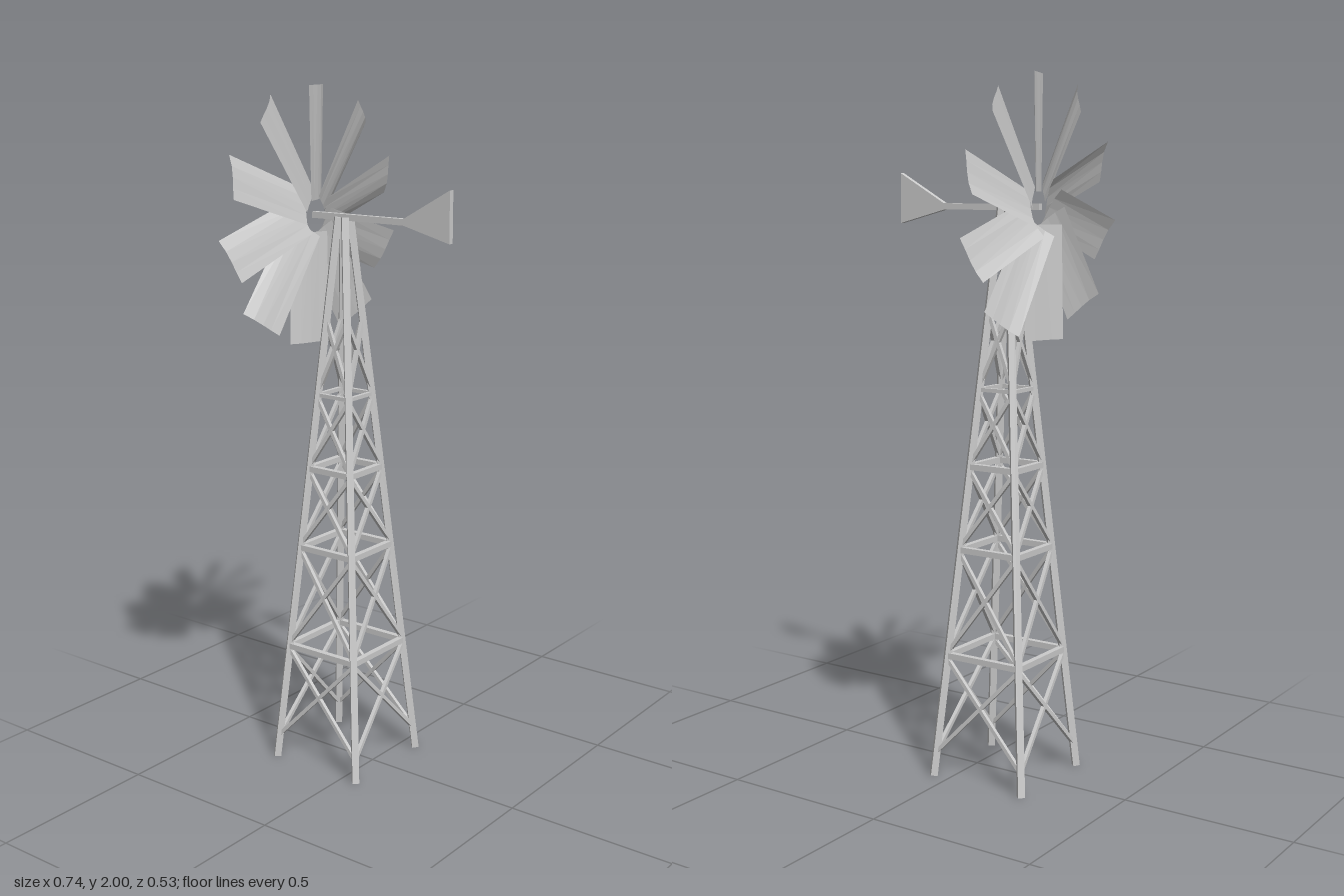
import * as THREE from 'three';

const TOWER_Z = -0.1, TOP = 1.64, HUB_Y = 1.636;
const mat = new THREE.MeshStandardMaterial({ color: 0xcccccc, flatShading: true });
const sheet = new THREE.MeshStandardMaterial({ color: 0xcccccc, flatShading: true, side: THREE.DoubleSide });

// half-width of the tapering tower at height y
const half = y => THREE.MathUtils.lerp(0.151, 0.012, y / TOP);

// square bar between two points, one face turned towards "out"
function bar(name, a, b, size, out) {
  const d = b.clone().sub(a);
  const mesh = new THREE.Mesh(new THREE.BoxGeometry(size, d.length(), size), mat);
  d.normalize();
  const side = d.clone().cross(out).normalize();
  const normal = side.clone().cross(d);
  mesh.quaternion.setFromRotationMatrix(new THREE.Matrix4().makeBasis(side, d, normal));
  mesh.position.copy(a).add(b).multiplyScalar(0.5);
  mesh.name = name;
  return mesh;
}

function createTower() {
  const tower = new THREE.Group();
  tower.name = 'tower';
  tower.position.z = TOWER_Z;
  const levels = [0.36, 0.67, 0.91, 1.13];
  const spans = [[0.07, 0.35], [0.37, 0.66], [0.68, 0.9], [0.92, 1.12], [1.14, 1.35]];

  // one face and one corner leg, repeated four times
  for (let i = 0; i < 4; i++) {
    const face = new THREE.Group();
    face.name = 'towerSide';
    face.rotation.y = i * Math.PI / 2;
    const p = (s, y) => new THREE.Vector3(s * half(y), y, half(y));
    const front = new THREE.Vector3(0, 0, 1);
    face.add(bar('leg', p(1, 0.001), p(1, TOP), 0.02, new THREE.Vector3(1, 0, 1)));
    levels.forEach((y, k) => face.add(bar('crossbar', p(-1, y), p(1, y), k < 3 ? 0.017 : 0.011, front)));
    for (const [y0, y1] of spans)
      for (const s of [-1, 1]) face.add(bar('diagonalBrace', p(s, y0), p(-s, y1), 0.011, front));
    tower.add(face);
  }
  return tower;
}

// curved sheet blade pointing up from the hub
function createBladeGeometry() {
  const across = 4;
  const g = new THREE.PlaneGeometry(1, 1, across, 1);
  const pos = g.attributes.position;
  for (let i = 0; i < pos.count; i++) {
    const u = pos.getX(i) + 0.5, v = pos.getY(i) + 0.5;
    const x = THREE.MathUtils.lerp(THREE.MathUtils.lerp(-0.035, 0.068, u), THREE.MathUtils.lerp(-0.04, 0.08, u), v);
    const z = -0.19 - 0.047 * u + 0.01 * 4 * u * (1 - u) * u;
    pos.setXYZ(i, x, THREE.MathUtils.lerp(0.045, 0.364, v), z);
  }
  g.computeVertexNormals();
  return g;
}

function createRotor() {
  const rotor = new THREE.Group();
  rotor.name = 'rotor';
  rotor.position.y = HUB_Y;
  const geometry = createBladeGeometry();
  for (let i = 0; i < 10; i++) {
    const blade = new THREE.Mesh(geometry, sheet);
    blade.name = 'blade';
    blade.rotation.z = i * Math.PI / 5;
    rotor.add(blade);
  }
  return rotor;
}

function createTail() {
  const tail = new THREE.Group();
  tail.name = 'tail';
  // boom from the rotor to the vane
  const boom = new THREE.Mesh(new THREE.BoxGeometry(0.016, 0.018, 0.325), mat);
  boom.name = 'boom';
  boom.position.set(0, 1.64, -0.0475);
  // flared vane
  const shape = new THREE.Shape([[0.11, 1.631], [0.263, 1.592], [0.263, 1.735], [0.11, 1.649]]
    .map(([z, y]) => new THREE.Vector2(-z, y)));
  const vane = new THREE.Mesh(new THREE.ExtrudeGeometry(shape, { depth: 0.016, bevelEnabled: false }), mat);
  vane.name = 'vane';
  vane.rotation.y = Math.PI / 2;
  vane.position.x = -0.008;
  tail.add(boom, vane);
  return tail;
}

export function createModel() {
  const model = new THREE.Group();
  model.name = 'windPump';
  model.add(createTower(), createRotor(), createTail());
  return model;
}
